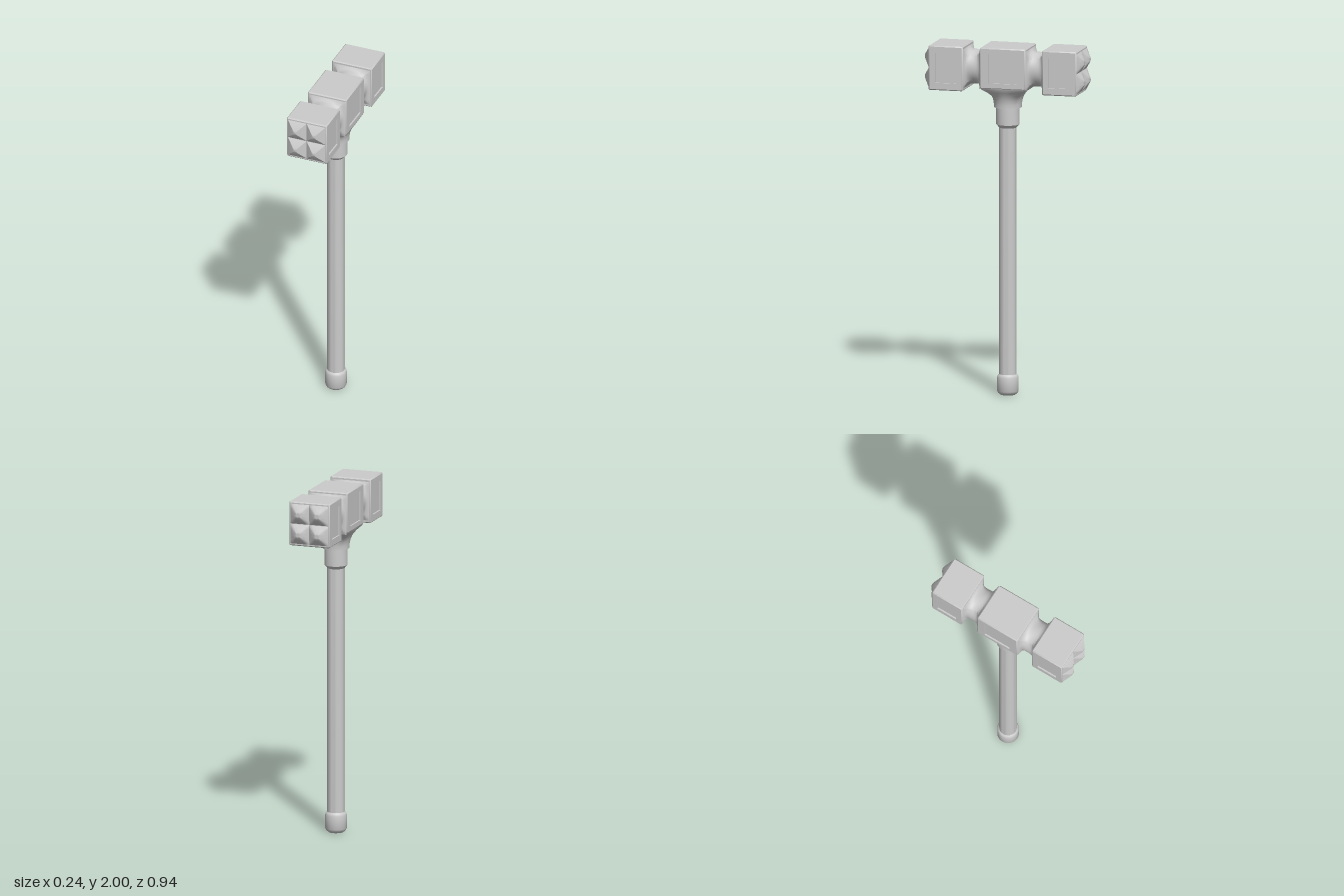
import * as THREE from 'three';
import { toCreasedNormals } from 'three/addons/utils/BufferGeometryUtils.js';

const material = new THREE.MeshStandardMaterial({ color: 0xcccccc });

function add(parent, name, geometry, crease = 0.6) {
  const mesh = new THREE.Mesh(toCreasedNormals(geometry, crease), material);
  mesh.name = name;
  parent.add(mesh);
  return mesh;
}

// Skin a list of equal-length point rings stacked along +y
function loft(rings) {
  const n = rings[0].length;
  const index = [];
  for (let r = 0; r < rings.length - 1; r++) {
    for (let i = 0; i < n; i++) {
      const a = r * n + i, b = r * n + (i + 1) % n;
      index.push(a, a + n, b, b, a + n, b + n);
    }
  }
  const geometry = new THREE.BufferGeometry().setFromPoints(rings.flat());
  geometry.setIndex(index);
  return geometry;
}

// Ring between a circle (square = 0) and a rectangle (square = 1)
function blendRing(y, a, b, square, segments = 48) {
  return Array.from({ length: segments }, (_, i) => {
    const t = (i / segments) * Math.PI * 2, c = Math.cos(t), s = Math.sin(t);
    const m = 1 + square * (1 / Math.max(Math.abs(c), Math.abs(s)) - 1);
    return new THREE.Vector3(a * c * m, y, b * s * m);
  });
}

// Rectangle ring with cut corners
function rectRing(y, a, b, cut = 0) {
  const p = Math.max(a - cut, 0), q = Math.max(b - cut, 0);
  return [[a, -q], [a, q], [p, b], [-p, b], [-a, q], [-a, -q], [-p, -b], [p, -b]]
    .map(([x, z]) => new THREE.Vector3(x, y, z));
}

// Bevelled block lying along x with a sunken panel on both sides
function panelBlock(halfX, halfY, halfZ, panelY, panelZ) {
  const cut = 0.006, depth = 0.009;
  const side = [
    [halfX - depth, 0, 0, 0],
    [halfX - depth, panelY, panelZ, 0],
    [halfX, panelY, panelZ, 0],
    [halfX, halfY - cut, halfZ - cut, cut / 2],
    [halfX - cut, halfY, halfZ, cut],
  ];
  const rings = [
    ...side.map(([x, ...r]) => rectRing(-x, ...r)),
    ...side.slice().reverse().map(([x, ...r]) => rectRing(x, ...r)),
  ];
  return loft(rings).rotateZ(-Math.PI / 2);
}

function lathe(points) {
  return new THREE.LatheGeometry(points.map(([r, y]) => new THREE.Vector2(r, y)), 32);
}

export function createModel() {
  const model = new THREE.Group();
  model.name = 'hammer';
  const headY = 1.8725;

  // Handle
  add(model, 'shaft', lathe([[0.05, 0.1], [0.05, 1.56]]));
  add(model, 'pommel', lathe([
    [0, 0], [0.042, 0], [0.055, 0.01], [0.061, 0.022], [0.061, 0.1], [0.057, 0.112], [0.049, 0.119],
  ]));
  add(model, 'collar', lathe([
    [0.049, 1.53], [0.062, 1.546], [0.066, 1.55], [0.066, 1.648], [0.05, 1.652],
  ]));

  // Flare turning from the round collar to the square head
  const flare = [
    [1.648, 0, 0, 0], [1.648, 0.077, 0.079, 0], [1.67, 0.077, 0.08, 0], [1.695, 0.081, 0.084, 0.1],
    [1.72, 0.09, 0.093, 0.35], [1.742, 0.103, 0.107, 0.7], [1.758, 0.113, 0.125, 0.95], [1.768, 0.116, 0.131, 1],
  ];
  add(model, 'flare', loft(flare.map((r) => blendRing(...r))));

  // Head
  const head = new THREE.Group();
  head.name = 'head';
  model.add(head);
  add(head, 'centreBlock', panelBlock(0.118, 0.1175, 0.133, 0.085, 0.082)).position.y = 1.8825;

  for (const dir of [1, -1]) {
    const label = dir > 0 ? 'front' : 'back';

    // Waisted neck, round in the middle and square at both ends
    const half = [[0.05, 0.114, 1], [0.045, 0.107, 0.8], [0.036, 0.1, 0.45], [0.022, 0.098, 0.15]];
    const neck = [
      ...half.map(([y, r, k]) => blendRing(-y, r, r, k)),
      blendRing(0, 0.098, 0.098, 0),
      ...half.slice().reverse().map(([y, r, k]) => blendRing(y, r, r, k)),
    ];
    add(head, label + 'Neck', loft(neck).rotateX(Math.PI / 2)).position.set(0, headY, dir * 0.183);

    const block = add(head, label + 'Block', panelBlock(0.122, 0.1275, 0.1, 0.085, 0.062));
    block.position.set(0, headY, dir * 0.332);

    // Four studs: faceted pyramids in front, softened ones behind
    const profile = dir > 0
      ? [[0, 0.058, 1], [0.034, 0.012, 1], [0.037, 0, 1]]
      : [[0, 0.058, 1], [0.01, 0.046, 0.85], [0.022, 0.031, 0.5], [0.032, 0.017, 0.2], [0.036, 0.009, 0], [0.038, 0, 0]];
    for (const x of [-0.057, 0.057]) {
      for (const y of [-0.058, 0.058]) {
        const stud = loft(profile.map(([h, r, k]) => blendRing(h, r, r, k, dir > 0 ? 8 : 32)));
        stud.rotateX(dir * Math.PI / 2);
        add(head, label + 'Stud', stud, dir > 0 ? 0.4 : 1.2).position.set(x, headY + y, dir * 0.431);
      }
    }
  }
  return model;
}
